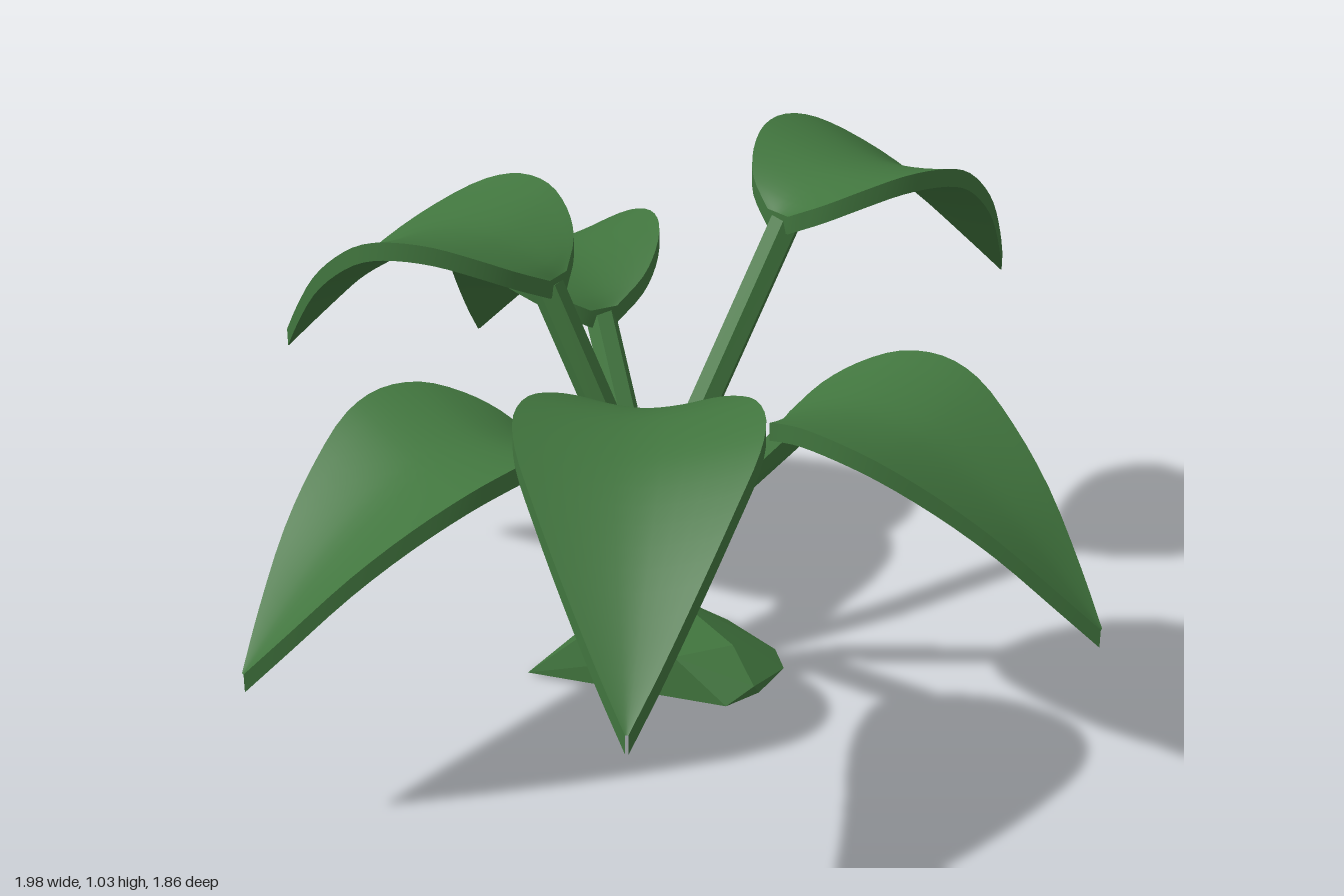
import * as THREE from 'three';
import { mergeGeometries } from 'three/addons/utils/BufferGeometryUtils.js';
import { ConvexGeometry } from 'three/addons/geometries/ConvexGeometry.js';

const V = (x, y, z) => new THREE.Vector3(x, y, z);

// Surface through rows of points; faces point along (column step) x (row step)
function grid(rows) {
  const n = rows[0].length, index = [];
  for (let i = 0; i < rows.length - 1; i++) {
    for (let j = 0; j < n - 1; j++) {
      const a = i * n + j, b = a + 1, c = b + n, d = a + n;
      index.push(a, b, c, a, c, d);
    }
  }
  const g = new THREE.BufferGeometry().setFromPoints(rows.flat());
  g.setIndex(index);
  g.computeVertexNormals();
  return g;
}

// Arched, cupped leaf blade growing along +x from its base at the origin
function leafGeometry() {
  // each point: distance along the leaf, height of the midrib, half width
  const profile = new THREE.CatmullRomCurve3([
    V(0, 0, 0.03), V(0.03, 0.025, 0.105), V(0.08, 0.048, 0.16), V(0.15, 0.065, 0.203),
    V(0.23, 0.062, 0.222), V(0.31, 0.04, 0.213), V(0.41, -0.015, 0.172),
    V(0.51, -0.09, 0.12), V(0.61, -0.19, 0.055), V(0.68, -0.265, 0.003),
  ]);
  const steps = 27, across = 10, thickness = 0.038;
  const top = [];
  for (let i = 0; i <= steps; i++) {
    const p = profile.getPoint(i / steps), row = [];
    for (let j = 0; j <= across; j++) {
      const u = (j / across) * 2 - 1;
      const lift = 0.042 * Math.pow(Math.abs(u), 1.6) * (p.z / 0.222);
      row.push(V(p.x, p.y + lift, u * p.z));
    }
    top.push(row);
  }
  const drop = (p) => V(p.x, p.y - thickness, p.z);
  const under = top.map((row) => row.map(drop).reverse());
  const outline = [...top.map((r) => r[across]).reverse(), ...top.map((r) => r[0])];
  return mergeGeometries([grid(top), grid(under), grid([outline, outline.map(drop)])]);
}

// Faceted stalk along three points, mitred at the bend and capped at the end
function stalkGeometry(path, radius, sides = 6) {
  const d0 = path[1].clone().sub(path[0]).normalize();
  const d1 = path[2].clone().sub(path[1]).normalize();
  const normals = [d0, d0.clone().add(d1).normalize(), d1];
  const side = V(0, 1, 0).cross(d1).normalize();
  const rows = path.map((p, i) => {
    const q = normals[i].clone().cross(side);
    return Array.from({ length: sides + 1 }, (_, j) => {
      const a = (j / sides) * Math.PI * 2;
      return p.clone()
        .addScaledVector(side, Math.cos(a) * radius)
        .addScaledVector(q, Math.sin(a) * radius);
    });
  });
  rows.push(rows[0].map(() => path[2].clone()));
  const g = grid(rows).toNonIndexed();
  g.computeVertexNormals();
  return g;
}

export function createModel() {
  const group = new THREE.Group();
  const green = new THREE.MeshStandardMaterial({ color: 0x41753e });
  green.name = 'leafGreen';
  const add = (geometry, name) => {
    const mesh = new THREE.Mesh(geometry, green);
    mesh.name = name;
    group.add(mesh);
    return mesh;
  };

  // Rough clod the stalks grow from
  add(new ConvexGeometry([
    V(-0.23, 0.005, -0.18), V(0.08, 0.005, -0.18), V(0.22, 0.008, -0.04), V(0.2, 0.01, 0.12),
    V(0.05, 0, 0.15), V(-0.06, 0.03, 0.23), V(0.02, 0.035, 0.245), V(0.12, 0.04, 0.22),
    V(0.0, 0.06, 0.25), V(-0.1, 0.115, 0.12), V(0.02, 0.115, 0.17),
    V(-0.16, 0.13, -0.06), V(0.04, 0.145, -0.02), V(0.0, 0.11, -0.14), V(0.06, 0.07, -0.17),
  ]), 'rootClod');

  // Leaves: base point, then tip x and z
  const leaves = [
    ['left', V(0.31, 0.925, 0.0), 0.99, 0.04],
    ['backLeft', V(0.1, 0.69, -0.29), 0.3, -0.93],
    ['backRight', V(-0.115, 0.855, -0.19), -0.29, -0.86],
    ['right', V(-0.32, 0.62, -0.01), -0.99, -0.1],
    ['frontRight', V(-0.29, 0.765, 0.24), -0.79, 0.71],
    ['frontLeft', V(0.045, 0.65, 0.27), 0.22, 0.93],
  ];
  const blade = leafGeometry();
  const root = V(-0.045, 0.09, 0.01);
  for (const [name, base, tipX, tipZ] of leaves) {
    const dx = tipX - base.x, dz = tipZ - base.z, length = Math.hypot(dx, dz);
    const leaf = add(blade, name + 'Leaf');
    leaf.position.copy(base);
    leaf.rotation.y = -Math.atan2(dz, dx);
    leaf.scale.x = length / 0.68;

    // Stalk leans out gently, then bends towards the leaf
    const out = V(base.x - root.x, 0, base.z - root.z).normalize();
    const start = root.clone().addScaledVector(out, 0.025);
    const end = base.clone().addScaledVector(out, 0.025);
    end.y -= 0.02;
    const bend = start.clone().lerp(end, 0.28);
    bend.y = start.y + (end.y - start.y) * 0.57;
    add(stalkGeometry([start, bend, end], 0.033), name + 'Stalk');
  }
  return group;
}
